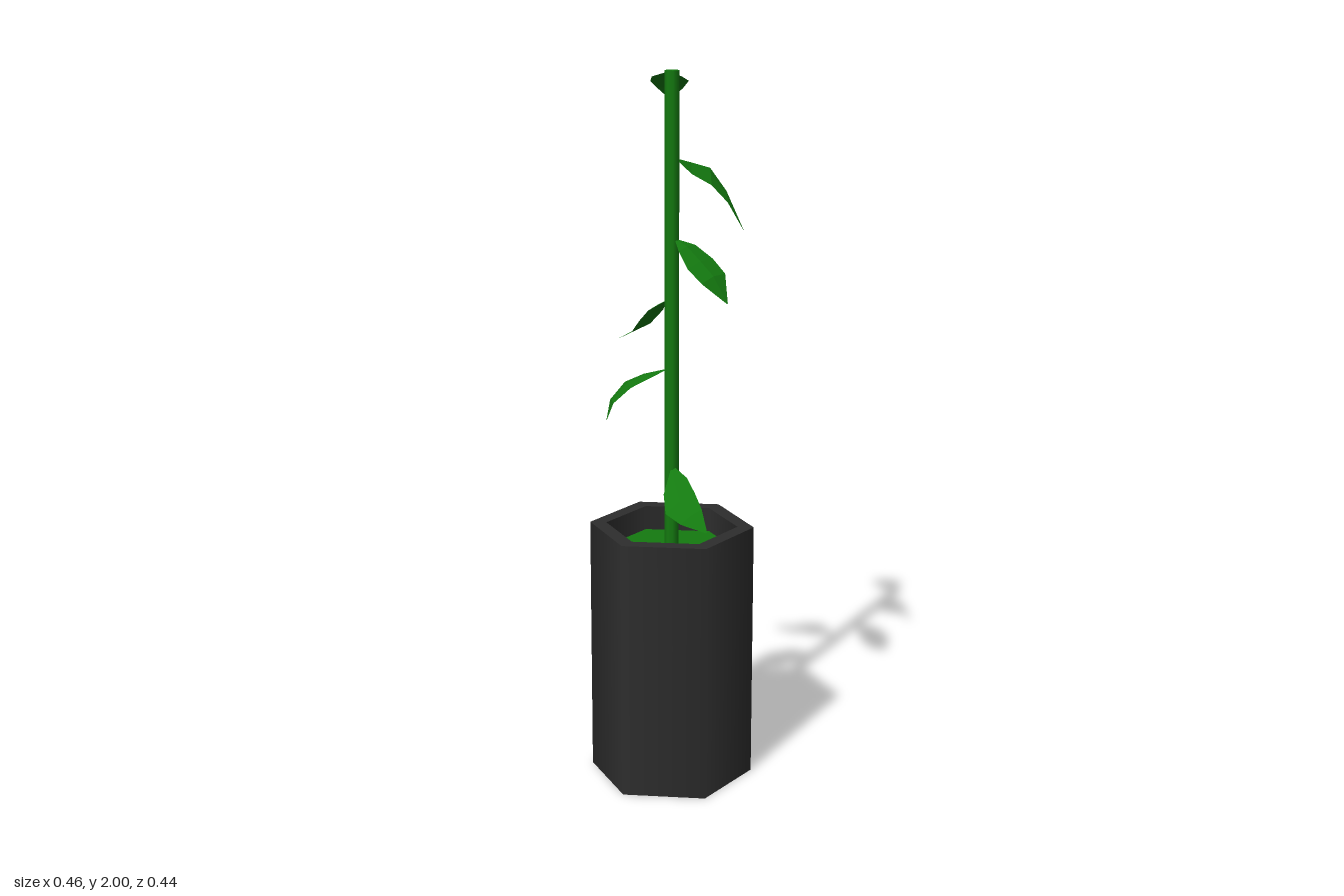
import * as THREE from 'three';

const POT_R = 0.231, RIM_R = 0.185, POT_H = 0.74, SOIL_Y = 0.67, AXIS_Z = 0.02;

const potMat = new THREE.MeshStandardMaterial({ color: 0x2d2d2d });
const potInnerMat = new THREE.MeshStandardMaterial({ color: 0x2d2d2d, side: THREE.BackSide });
const greenMat = new THREE.MeshStandardMaterial({ color: 0x147a10 });
const leafMat = new THREE.MeshStandardMaterial({ color: 0x147a10, side: THREE.DoubleSide, flatShading: true });

function part(name, geometry, material, y = 0) {
  const mesh = new THREE.Mesh(geometry, material);
  mesh.name = name;
  mesh.position.y = y;
  return mesh;
}

// Hexagonal prism wall with corners on the x axis
function hexWall(radius, height) {
  return new THREE.CylinderGeometry(radius, radius, height, 6, 1, true).rotateY(Math.PI / 2);
}

// Leaf: a five-point midrib, widened to both sides along one direction, edges drooping slightly
function leafGeometry(rib, side, widths) {
  const dir = new THREE.Vector3(...side).normalize();
  const pos = [], index = [];
  rib.forEach((p, i) => {
    const w = [0.006, ...widths, 0.002][i];
    for (const s of [-1, 0, 1]) {
      const v = new THREE.Vector3(...p).addScaledVector(dir, s * w);
      v.y += s === 0 ? 0.06 * w : -0.06 * w;
      pos.push(v.x, v.y, v.z);
    }
    if (i === 0) return;
    for (let k = 0; k < 2; k++) {
      const a = (i - 1) * 3 + k, b = a + 3;
      index.push(a, a + 1, b, a + 1, b + 1, b);
    }
  });
  const g = new THREE.BufferGeometry();
  g.setAttribute('position', new THREE.Float32BufferAttribute(pos, 3));
  g.setIndex(index);
  g.computeVertexNormals();
  return g;
}

// Leaves from the top down: midrib from stem to tip, width direction, half widths
const LEAVES = [
  { rib: [[0, 1.995, 0.01], [0.045, 1.98, -0.03], [0.085, 1.965, -0.05], [0.125, 1.94, -0.077], [0.153, 1.905, -0.097]],
    side: [0.6, 0, 0.8], widths: [0.04, 0.052, 0.035] },
  { rib: [[0.01, 1.765, 0.03], [0.055, 1.74, 0.045], [0.11, 1.715, 0.07], [0.13, 1.66, 0.11], [0.115, 1.575, 0.175]],
    side: [0.8, 0.25, -0.6], widths: [0.042, 0.062, 0.04] },
  { rib: [[0, 1.55, 0.035], [-0.007, 1.535, 0.075], [-0.015, 1.5, 0.125], [-0.018, 1.465, 0.17], [-0.02, 1.4, 0.217]],
    side: [1, 0.1, 0], widths: [0.038, 0.058, 0.055] },
  { rib: [[0.01, 1.38, 0], [0.04, 1.35, -0.06], [0.075, 1.315, -0.105], [0.085, 1.27, -0.15], [0.072, 1.23, -0.22]],
    side: [0.9, 0.2, 0.2], widths: [0.033, 0.045, 0.036] },
  { rib: [[-0.01, 1.19, 0.01], [-0.05, 1.175, -0.03], [-0.092, 1.155, -0.062], [-0.128, 1.11, -0.09], [-0.13, 1.05, -0.108]],
    side: [0.7, -0.1, -0.7], widths: [0.05, 0.06, 0.036] },
  { rib: [[-0.01, 0.91, 0.03], [-0.045, 0.875, 0.065], [-0.08, 0.842, 0.107], [-0.095, 0.815, 0.155], [-0.1, 0.78, 0.21]],
    side: [0.75, 0.5, 0.45], widths: [0.04, 0.05, 0.036] },
];

export function createModel() {
  const model = new THREE.Group();
  model.name = 'pottedPlant';

  // Pot: outer wall, base, flat rim and inner wall
  const pot = new THREE.Group();
  pot.name = 'pot';
  pot.position.z = AXIS_Z;
  const depth = POT_H - SOIL_Y;
  pot.add(
    part('outerWall', hexWall(POT_R, POT_H), potMat, POT_H / 2),
    part('base', new THREE.CircleGeometry(POT_R, 6).rotateX(Math.PI / 2), potMat),
    part('rim', new THREE.RingGeometry(RIM_R, POT_R, 6).rotateX(-Math.PI / 2), potMat, POT_H),
    part('innerWall', hexWall(RIM_R, depth), potInnerMat, SOIL_Y + depth / 2),
    part('soil', new THREE.CircleGeometry(RIM_R, 6).rotateX(-Math.PI / 2), greenMat, SOIL_Y),
  );
  model.add(pot);

  // Stem
  const stemH = 2 - SOIL_Y;
  const stem = part('stem', new THREE.CylinderGeometry(0.02, 0.02, stemH, 8), greenMat, SOIL_Y + stemH / 2);
  stem.position.z = AXIS_Z;
  model.add(stem);

  // Leaves
  const leaves = new THREE.Group();
  leaves.name = 'leaves';
  LEAVES.forEach((l, i) => leaves.add(part(`leaf${i + 1}`, leafGeometry(l.rib, l.side, l.widths), leafMat)));
  model.add(leaves);

  return model;
}
